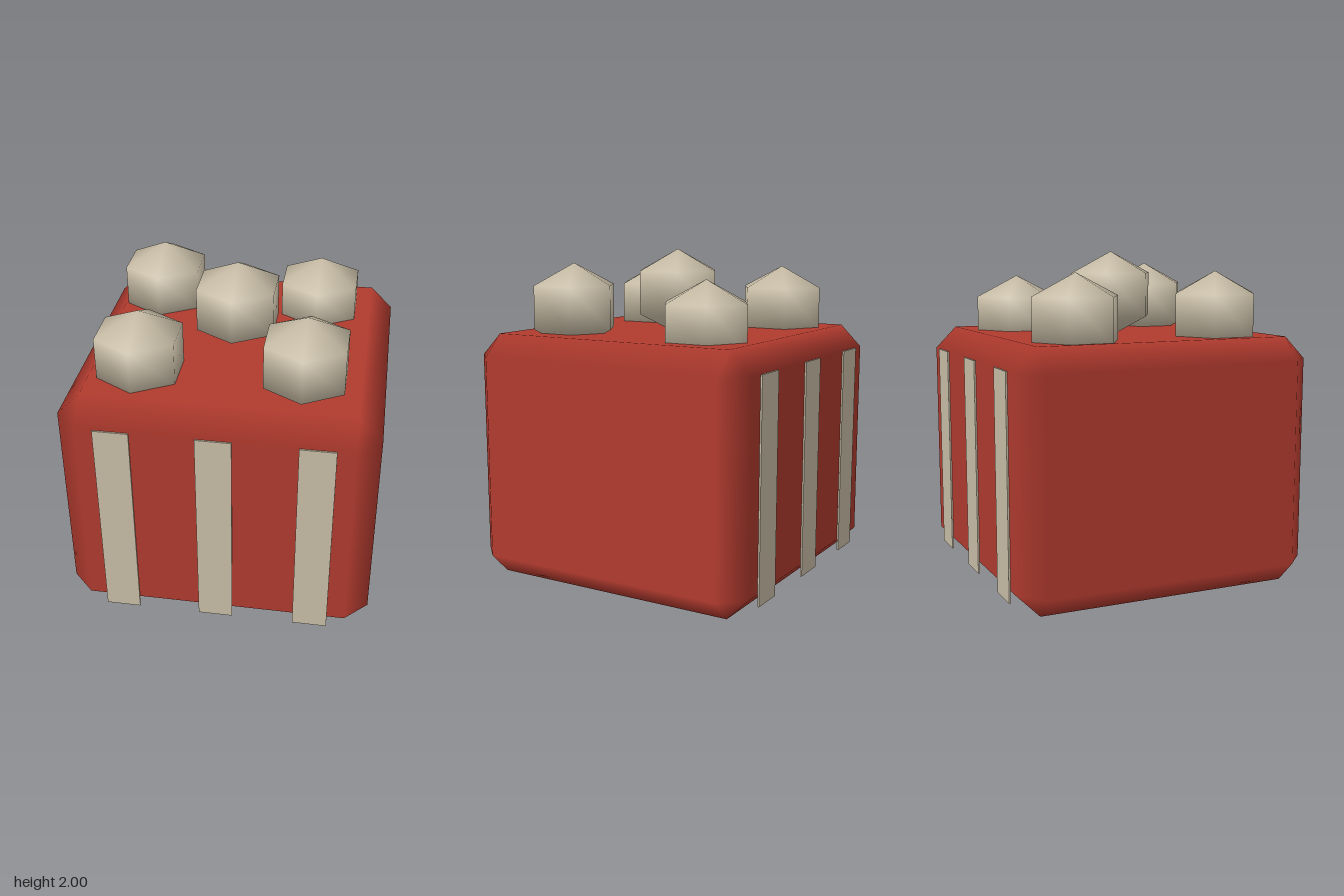
import * as THREE from 'three';
import { ConvexGeometry } from 'three/addons/geometries/ConvexGeometry.js';

// Box with one-step bevels; each corner point keeps the normal of its flat face,
// so the bevels shade smoothly while the faces stay flat.
function bevelBox(hx, hy, hz, bevel) {
  const half = [hx, hy, hz];
  const points = [];
  for (let axis = 0; axis < 3; axis++)
    for (const sx of [-1, 1]) for (const sy of [-1, 1]) for (const sz of [-1, 1]) {
      const p = [sx, sy, sz].map((s, i) => s * (i === axis ? half[i] : half[i] - bevel));
      points.push(new THREE.Vector3(...p));
    }
  const geo = new ConvexGeometry(points);
  const pos = geo.attributes.position, nor = geo.attributes.normal;
  for (let i = 0; i < pos.count; i++) {
    const p = [pos.getX(i), pos.getY(i), pos.getZ(i)];
    const n = p.map((v, k) => (Math.abs(v) > half[k] - bevel / 2 ? Math.sign(v) : 0));
    nor.setXYZ(i, ...n);
  }
  return geo;
}

export function createModel() {
  const group = new THREE.Group();
  const red = new THREE.MeshStandardMaterial({ color: 0xb03a2e });
  red.name = 'red';
  const cream = new THREE.MeshStandardMaterial({ color: 0xc8bda6 });
  cream.name = 'cream';

  const add = (name, geo, mat, x, y, z) => {
    const mesh = new THREE.Mesh(geo, mat);
    mesh.name = name;
    mesh.position.set(x, y, z);
    group.add(mesh);
  };

  // Box body
  add('box', bevelBox(0.92, 0.75, 0.92, 0.135), red, 0, 0.75, 0);

  // Stripes on front and back
  const stripe = new THREE.BoxGeometry(0.207, 1.302, 0.0098);
  for (const z of [0.9255, -0.9255])
    for (const x of [-0.577, 0, 0.577])
      add(z > 0 ? 'frontStripe' : 'backStripe', stripe, cream, x, 0.714, z);

  // Low-poly kernels heaped on top: six sides, points towards z
  const r = 0.265;
  const kernel = new THREE.SphereGeometry(r, 6, 3);
  kernel.rotateY(Math.PI / 2);
  kernel.scale(1.155, 1, 1.155);
  const kernels = [
    [0, 2.0, 0],
    [0.46, 1.92, 0.462],
    [-0.503, 1.885, 0.46],
    [0.46, 1.845, -0.463],
    [-0.54, 1.885, -0.463],
  ];
  for (const [x, top, z] of kernels) add('kernel', kernel, cream, x, top - r, z);

  return group;
}
